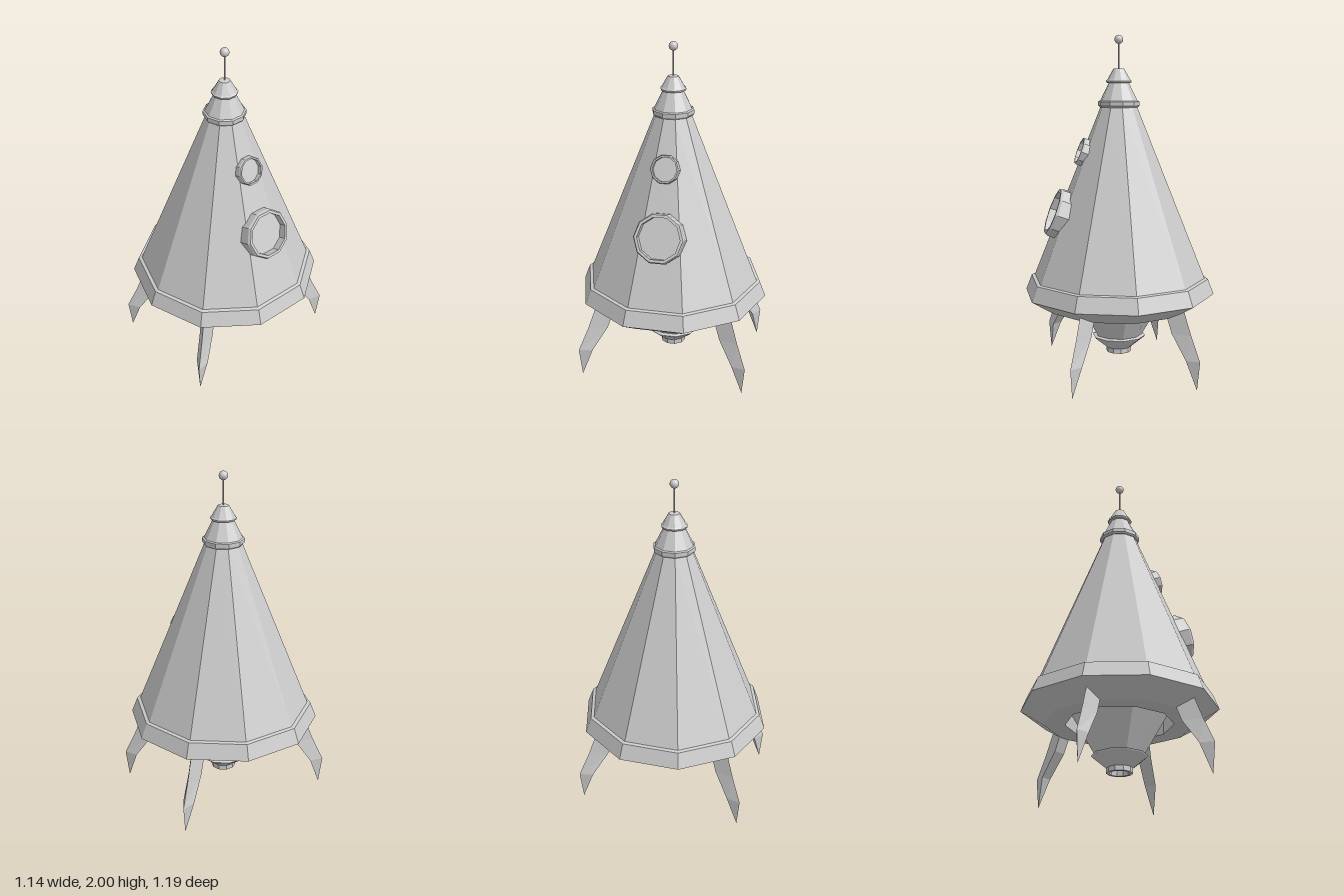
import * as THREE from 'three';

const SIDES = 10;
const flat = new THREE.MeshStandardMaterial({ color: 0xcccccc, flatShading: true });
const smooth = new THREE.MeshStandardMaterial({ color: 0xcccccc });

// Ten-sided turned part; profile runs [radius, y] with the outside on its right
function turned(name, profile) {
  const points = profile.map(([r, y]) => new THREE.Vector2(r, y));
  const mesh = new THREE.Mesh(new THREE.LatheGeometry(points, SIDES, Math.PI / 2), flat);
  mesh.name = name;
  return mesh;
}

// Hull cone: radius at a height
const HULL = { y0: 0.57, r0: 0.515, y1: 1.585, r1: 0.108 };
const hullRadius = (y) =>
  HULL.r0 + ((HULL.r1 - HULL.r0) * (y - HULL.y0)) / (HULL.y1 - HULL.y0);

// Raised window frame with recessed pane, lying flat on one hull facet
function porthole(name, y, radius, depth) {
  const group = new THREE.Group();
  group.name = name;
  const inner = radius * 0.84;
  group.add(turned('portholeFrame', [
    [radius, -0.03], [radius, depth * 0.75], [radius * 0.95, depth], [inner, depth], [inner, depth * 0.15],
  ]));
  group.add(turned('portholePane', [[inner, depth * 0.2], [0, depth * 0.2]]));
  const facet = Math.PI / SIDES;
  const apothem = Math.cos(facet);
  const tilt = Math.atan((apothem * (HULL.r0 - HULL.r1)) / (HULL.y1 - HULL.y0));
  const normal = new THREE.Vector3(
    Math.cos(facet) * Math.cos(tilt), Math.sin(tilt), Math.sin(facet) * Math.cos(tilt));
  const r = hullRadius(y) * apothem;
  group.position.set(r * Math.cos(facet), y, r * Math.sin(facet));
  group.quaternion.setFromUnitVectors(new THREE.Vector3(0, 1, 0), normal);
  return group;
}

// Claw leg along +x: triangular sections with a ridge outside and a flat inner face
function legGeometry() {
  const sections = [ // y, inner radius, ridge radius, half width
    [0.46, 0.39, 0.5, 0.042],
    [0.31, 0.45, 0.56, 0.04],
    [0.17, 0.55, 0.626, 0.034],
    [0, 0.606, 0.606, 0],
  ];
  const positions = [];
  const index = [];
  sections.forEach(([y, inner, ridge, w]) =>
    positions.push(inner, y, -w, inner, y, w, ridge, y, 0));
  for (let s = 0; s < sections.length - 1; s++) {
    for (let k = 0; k < 3; k++) {
      const a = s * 3 + k, b = s * 3 + ((k + 1) % 3);
      index.push(a, a + 3, b);
      if (s < sections.length - 2) index.push(b, a + 3, b + 3);
    }
  }
  index.push(0, 1, 2);
  const geometry = new THREE.BufferGeometry();
  geometry.setAttribute('position', new THREE.Float32BufferAttribute(positions, 3));
  geometry.setIndex(index);
  geometry.computeVertexNormals();
  return geometry;
}

export function createModel() {
  const model = new THREE.Group();
  model.name = 'rocket';

  // Skirt with open recess underneath, then the conical hull
  model.add(turned('skirt', [
    [0.31, 0.52], [0.31, 0.39], [0.43, 0.39], [0.57, 0.475], [0.535, 0.565], [0.515, 0.57],
  ]));
  model.add(turned('hull', [[HULL.r0, HULL.y0], [HULL.r1, HULL.y1]]));

  // Stepped nose
  model.add(turned('noseCollar', [
    [0.1, 1.585], [0.114, 1.582], [0.122, 1.592], [0.122, 1.615], [0.112, 1.62],
  ]));
  model.add(turned('nose', [
    [0.112, 1.617], [0.06, 1.722], [0.073, 1.725], [0.076, 1.735], [0.068, 1.742],
    [0.032, 1.805], [0, 1.808],
  ]));

  // Engine pod and nozzle
  model.add(turned('engine', [
    [0, 0.14], [0.055, 0.14], [0.058, 0.106], [0.075, 0.106], [0.075, 0.135],
    [0.155, 0.2], [0.16, 0.208], [0.14, 0.215], [0.31, 0.51],
  ]));

  // Antenna
  const rod = new THREE.Mesh(new THREE.CylinderGeometry(0.004, 0.004, 0.17, 8), smooth);
  rod.name = 'antennaRod';
  rod.position.y = 1.88;
  const ball = new THREE.Mesh(new THREE.SphereGeometry(0.026, 16, 12), smooth);
  ball.name = 'antennaBall';
  ball.position.y = 1.974;
  model.add(rod, ball);

  // Portholes
  model.add(porthole('largePorthole', 0.955, 0.148, 0.058));
  model.add(porthole('smallPorthole', 1.318, 0.084, 0.034));

  // Four legs, each under a hull corner
  const leg = legGeometry();
  for (const degrees of [72, 144, 252, 324]) {
    const mesh = new THREE.Mesh(leg, flat);
    mesh.name = 'leg';
    mesh.rotation.y = -THREE.MathUtils.degToRad(degrees);
    model.add(mesh);
  }
  return model;
}
